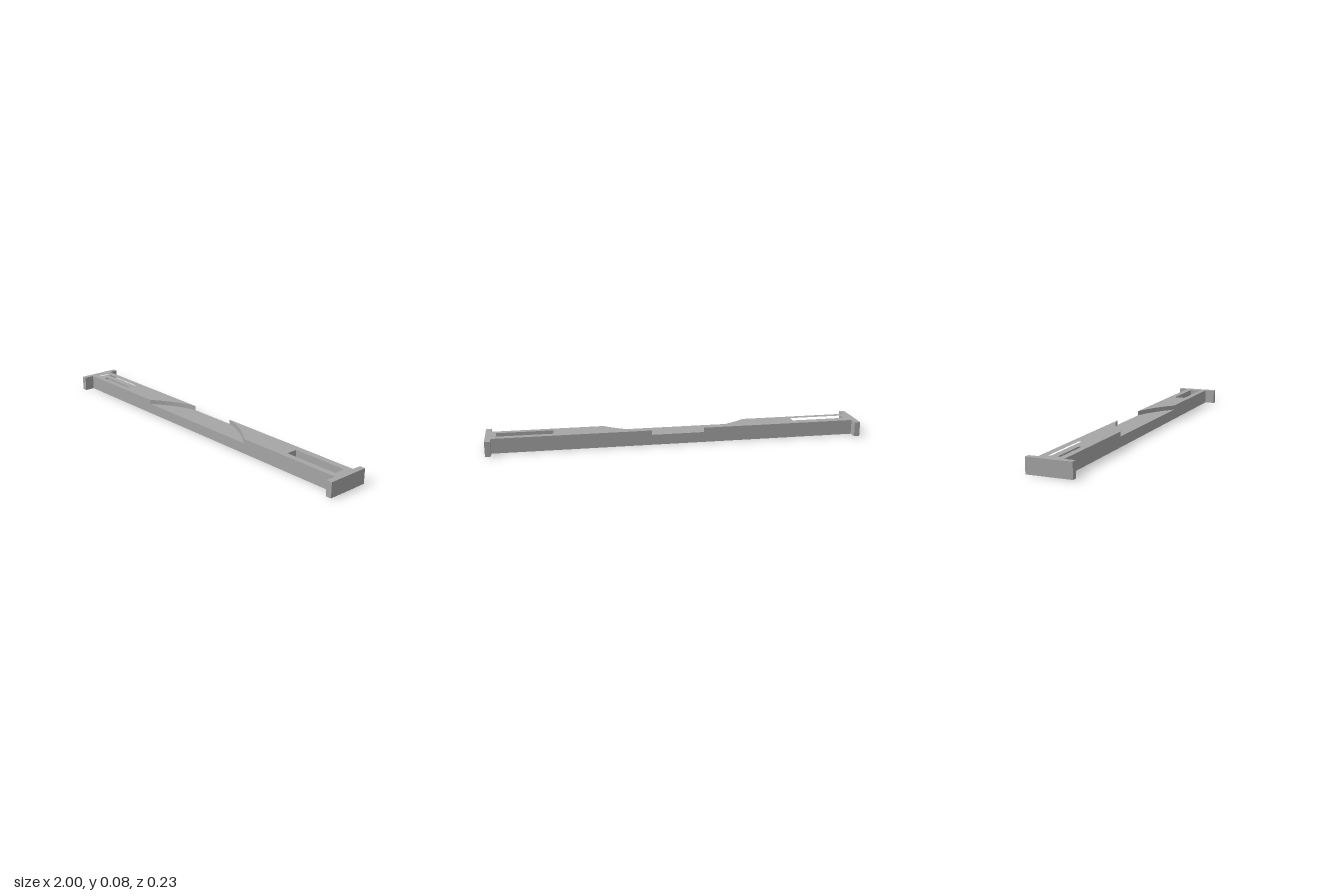
import * as THREE from 'three';
import { toCreasedNormals } from 'three/addons/utils/BufferGeometryUtils.js';

const BACK = -0.067, FRONT = 0.06;            // bar sides in z
const FLANGE = 0.115, INNER = 0.97;           // end plates
const SLOT_FLOOR = 0.02, RECESS_FLOOR = 0.055, TOP = 0.079;
const ARC_Z = 0.497, ARC_R = 0.581;           // curved recess wall

// End outline on one side, from the back edge round to the front edge
const endOutline = (s) => [
  [INNER, BACK], [INNER, -FLANGE], [1, -FLANGE],
  [1, FLANGE], [INNER, FLANGE], [INNER, FRONT],
].map(([x, z]) => new THREE.Vector2(s * x, z));

// Blind slot near one end
function slotHole(s) {
  return new THREE.Path([[0.65, -0.032], [0.945, -0.032], [0.945, 0.028], [0.65, 0.028]]
    .map(([x, z]) => new THREE.Vector2(s * x, z)));
}

// Curved wall of the central recess, from front to back
function recessArc(s) {
  const points = [];
  for (let i = 0; i <= 24; i++) {
    const z = FRONT + (BACK - FRONT) * i / 24;
    points.push(new THREE.Vector2(s * Math.sqrt(ARC_R ** 2 - (z - ARC_Z) ** 2), z));
  }
  return points;
}

export function createModel() {
  const model = new THREE.Group();
  model.name = 'slottedBar';
  const grey = new THREE.MeshStandardMaterial({ color: 0xa6a6a6 });
  grey.name = 'grey';

  // Extrude a plan outline between two heights
  function layer(name, points, holes, y0, y1) {
    const shape = new THREE.Shape(points);
    shape.holes.push(...holes);
    const geometry = new THREE.ExtrudeGeometry(shape, { depth: y1 - y0, bevelEnabled: false });
    geometry.rotateX(Math.PI / 2).translate(0, y1, 0);
    const mesh = new THREE.Mesh(toCreasedNormals(geometry, 0.5), grey);
    mesh.name = name;
    model.add(mesh);
  }

  // Full-length base and the slotted layer over it
  const full = [...endOutline(1), ...endOutline(-1).reverse()];
  layer('base', full, [], 0, SLOT_FLOOR);
  layer('slottedBody', full, [slotHole(1), slotHole(-1)], SLOT_FLOOR, RECESS_FLOOR);

  // Raised ends either side of the curved recess
  for (const [s, name] of [[1, 'leftRaisedEnd'], [-1, 'rightRaisedEnd']]) {
    layer(name, [...endOutline(s), ...recessArc(s)], [slotHole(s)], RECESS_FLOOR, TOP);
  }
  return model;
}
